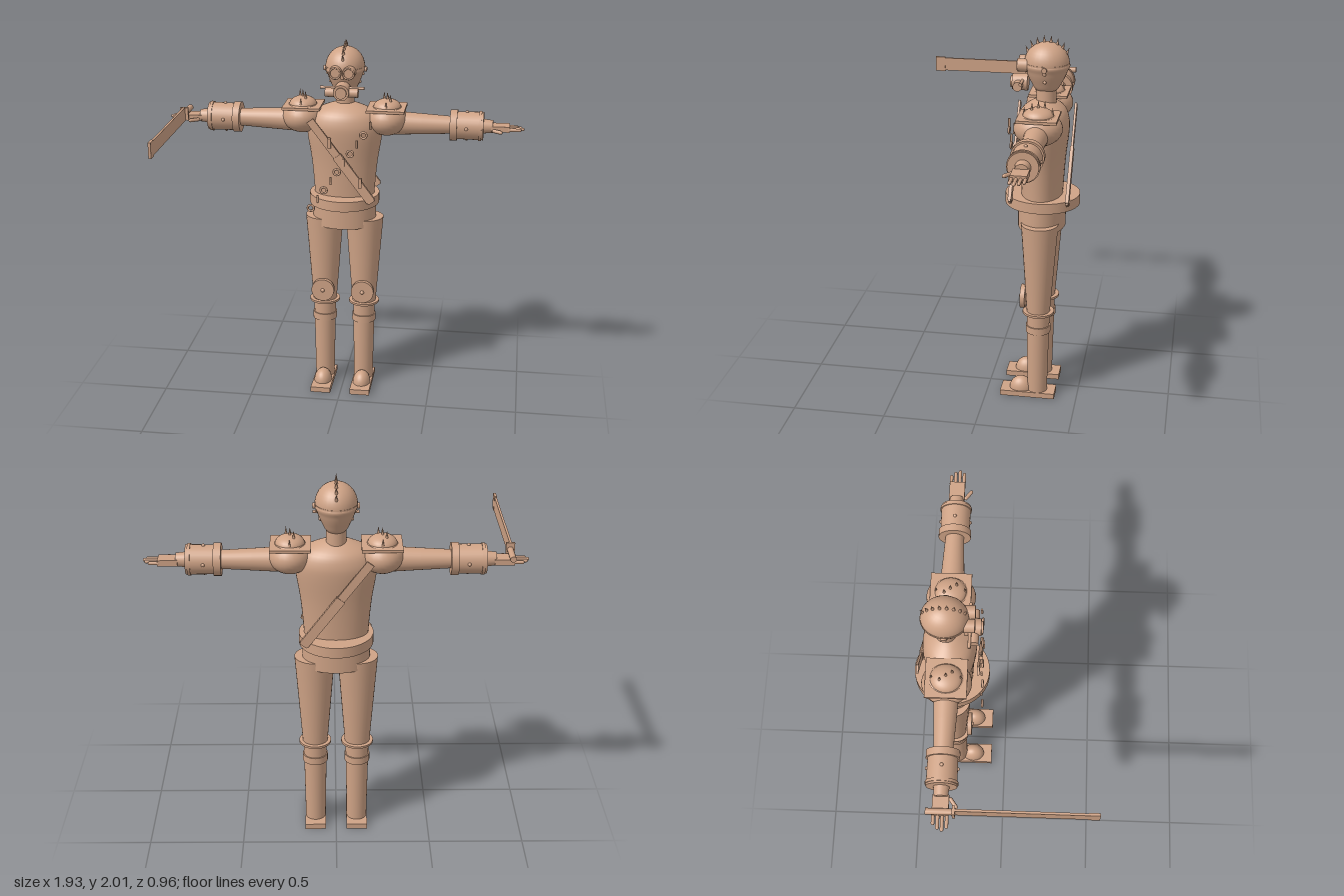
import * as THREE from 'three';

const clay = new THREE.MeshStandardMaterial({ color: 0xcfa386 });
clay.name = 'clay tan';
const Z = -0.28; // depth of the body axis
const HALF = Math.PI / 2;

function add(parent, name, geo, pos, rot = [0, 0, 0], scale = [1, 1, 1]) {
  const m = new THREE.Mesh(geo, clay);
  m.name = name;
  m.position.set(...pos);
  m.rotation.set(...rot);
  m.scale.set(...scale);
  parent.add(m);
  return m;
}
const box = (x, y, z) => new THREE.BoxGeometry(x, y, z);
const cyl = (top, bottom, h, n = 28) => new THREE.CylinderGeometry(top, bottom, h, n);
const ball = (r) => new THREE.SphereGeometry(r, 28, 18);
const cone = (r, h) => new THREE.ConeGeometry(r, h, 10);
const dome = (r) => new THREE.SphereGeometry(r, 28, 10, 0, Math.PI * 2, 0, HALF);
const lathe = (pts) => new THREE.LatheGeometry(
  new THREE.SplineCurve(pts.map((p) => new THREE.Vector2(...p))).getPoints(28), 36);

function buildLeg(s) {
  const g = new THREE.Group();
  g.name = s > 0 ? 'leftLeg' : 'rightLeg';
  const x = s * 0.112;
  add(g, 'sole', box(0.112, 0.03, 0.3), [x, 0.015, -0.23]);
  add(g, 'toeCap', dome(1), [x, 0.03, -0.19], [0, 0, 0], [0.05, 0.068, 0.063]);
  add(g, 'shin', cyl(0.062, 0.054, 0.48), [x, 0.27, Z]);
  add(g, 'shinCuff', cyl(0.067, 0.067, 0.04), [x, 0.41, Z]);
  add(g, 'kneeRing', cyl(0.085, 0.085, 0.012), [x, 0.508, Z]);
  add(g, 'thigh', cyl(0.103, 0.065, 0.51), [x, 0.765, Z], [0, 0, 0], [1.02, 1, 0.96]);
  add(g, 'kneePad', cyl(0.064, 0.064, 0.026), [x, 0.592, -0.198], [HALF, 0, 0]);
  add(g, 'kneeRivet', ball(0.011), [x, 0.592, -0.184]);
  return g;
}

function buildArm(s) {
  const g = new THREE.Group();
  g.name = s > 0 ? 'leftArm' : 'rightArm';
  const y = 1.562;
  const tube = (name, x0, x1, r0, r1) => add(g, name, cyl(r1, r0, x1 - x0),
    [s * (x0 + x1) / 2, y, Z], [0, 0, -s * HALF]);

  // shoulder armour
  add(g, 'shoulder', ball(1), [s * 0.23, 1.585, Z], [0, 0, 0], [0.112, 0.09, 0.125]);
  add(g, 'shoulderPlate', box(0.205, 0.014, 0.206), [s * 0.228, 1.643, Z]);
  add(g, 'shoulderDome', dome(1), [s * 0.23, 1.647, Z], [0, 0, 0], [0.075, 0.047, 0.08]);
  for (const [dx, dz, b] of [[0, 0.072, 1.65], [0.02, 0.03, 1.68], [0, 0, 1.685], [-0.02, -0.03, 1.68], [0, -0.072, 1.65]])
    add(g, 'shoulderSpike', cone(0.009, 0.05), [s * 0.23 + dx, b + 0.022, Z + dz]);

  // arm and bracer
  tube('upperArm', 0.16, 0.42, 0.07, 0.056);
  tube('forearm', 0.42, 0.6, 0.056, 0.046);
  tube('bracer', 0.59, 0.75, 0.074, 0.076);
  tube('bracerInnerBand', 0.572, 0.61, 0.083, 0.083);
  tube('bracerOuterBand', 0.725, 0.74, 0.081, 0.081);
  tube('wrist', 0.74, 0.8, 0.04, 0.034);
  for (let i = 0; i < 4; i++) {
    const a = i * HALF;
    add(g, 'bracerRivet', ball(0.009), [s * 0.66, y + 0.075 * Math.sin(a), Z + 0.075 * Math.cos(a)]);
  }

  // hand
  add(g, 'palm', box(0.1, 0.03, 0.08), [s * 0.84, 1.557, Z]);
  [0.075, 0.09, 0.08, 0.06].forEach((len, i) =>
    add(g, 'finger', new THREE.CapsuleGeometry(0.009, len - 0.018, 4, 10),
      [s * (0.877 + len / 2), 1.555, Z + 0.033 - i * 0.022], [0, 0, HALF]));
  add(g, 'thumb', new THREE.CapsuleGeometry(0.01, 0.045, 4, 10), [s * 0.825, 1.55, -0.22], [HALF, 0, -s * 0.95]);
  return g;
}

function buildHead() {
  const g = new THREE.Group();
  g.name = 'head';
  const z = -0.29;
  add(g, 'neck', cyl(0.05, 0.052, 0.12), [0, 1.7, z]);
  add(g, 'skull', lathe([[0, 1.715], [0.05, 1.722], [0.078, 1.765], [0.102, 1.82], [0.108, 1.865], [0, 1.9]]),
    [0, 0, z], [0, 0, 0], [0.92, 1, 1.04]);
  add(g, 'helmet', dome(1), [0, 1.862, z], [0, 0, 0], [0.106, 0.11, 0.117]);
  add(g, 'helmetRim', cyl(1, 1, 0.008, 36), [0, 1.863, z], [0, 0, 0], [0.107, 1, 0.118]);

  // crest of spikes
  for (let i = 0; i < 8; i++) {
    const a = -1.0 + i * 0.29;
    add(g, 'crestSpike', cone(0.01, 0.045),
      [0, 1.862 + 0.124 * Math.cos(a), z - 0.122 * Math.sin(a)], [-a * 0.4, 0, 0]);
  }

  // goggles and breathing mask
  add(g, 'noseBridge', box(0.018, 0.03, 0.04), [0, 1.835, -0.18]);
  add(g, 'mask', cyl(0.042, 0.045, 0.08), [0, 1.757, -0.155], [HALF, 0, 0]);
  add(g, 'maskFilter', cyl(0.03, 0.03, 0.02), [0, 1.757, -0.115], [HALF, 0, 0]);
  add(g, 'maskBar', cyl(0.008, 0.008, 0.236, 12), [0, 1.773, -0.17], [0, 0, HALF]);
  for (const s of [-1, 1]) {
    add(g, 'goggle', cyl(0.033, 0.034, 0.05), [s * 0.036, 1.855, -0.172], [HALF, 0, 0]);
    add(g, 'goggleRim', new THREE.TorusGeometry(0.029, 0.005, 8, 28), [s * 0.036, 1.855, -0.147]);
    add(g, 'canister', cyl(0.024, 0.024, 0.052), [s * 0.062, 1.752, -0.15], [0, 0, HALF]);
    add(g, 'earBolt', cyl(0.014, 0.014, 0.022, 14), [s * 0.106, 1.85, z], [0, 0, HALF]);
    for (const [y, x] of [[1.825, 0.095], [1.78, 0.079]]) add(g, 'headRivet', ball(0.009), [s * x, y, z]);
  }
  return g;
}

function buildTorso() {
  const g = new THREE.Group();
  g.name = 'torso';
  add(g, 'chest', lathe([[0.162, 1.09], [0.168, 1.2], [0.182, 1.35], [0.205, 1.5], [0.2, 1.57], [0.16, 1.625], [0.06, 1.668], [0, 1.67]]),
    [0, 0, -0.277], [0, 0, 0], [1, 1, 0.66]);
  add(g, 'hips', cyl(1, 1, 0.135, 36), [0, 1.045, -0.277], [0, 0, 0], [0.175, 1, 0.126]);
  add(g, 'belt', cyl(1, 1, 0.056, 36), [0, 1.132, Z], [0, 0, 0], [0.192, 1, 0.198]);

  // crossing straps, front and back
  for (const [name, z] of [['frontStrap', -0.128], ['backStrap', -0.428]]) {
    add(g, name, box(0.042, 0.56, 0.012), [0, 1.375, z], [0, 0, 0.645]);
    add(g, name + 'Sleeve', box(0.05, 0.31, 0.018), [0.07, 1.282, z], [0, 0, 0.645]);
  }
  for (const [x, y] of [[-0.063, 1.48], [0.105, 1.262]])
    add(g, 'strapBuckle', box(0.018, 0.055, 0.02), [x, y, -0.12]);

  // diagonal chain of rings with pegs between
  for (let i = 0; i < 5; i++) {
    const x = -0.165 + i * 0.0715, y = 1.108 + i * 0.106;
    add(g, 'chainRing', new THREE.TorusGeometry(0.017, 0.006, 8, 20), [x, y, -0.116]);
    add(g, 'chainPeg', cyl(0.006, 0.006, 0.042, 10), [x + 0.036, y + 0.053, -0.122]);
  }
  return g;
}

function buildSword() {
  const g = new THREE.Group();
  g.name = 'sword';
  const x = -0.877, y = 1.585;
  add(g, 'blade', box(0.012, 0.074, 0.64), [x, y, 0.105]);
  add(g, 'bladeTip', box(0.014, 0.084, 0.056), [x, y, 0.452]);
  add(g, 'guard', box(0.045, 0.07, 0.014), [x, y, -0.215]);
  add(g, 'grip', cyl(0.016, 0.016, 0.14, 16), [x, y, -0.28], [HALF, 0, 0]);
  return g;
}

export function createModel() {
  const model = new THREE.Group();
  model.name = 'armouredFigure';
  model.add(buildTorso(), buildHead(), buildSword());
  for (const s of [-1, 1]) model.add(buildLeg(s), buildArm(s));
  return model;
}
